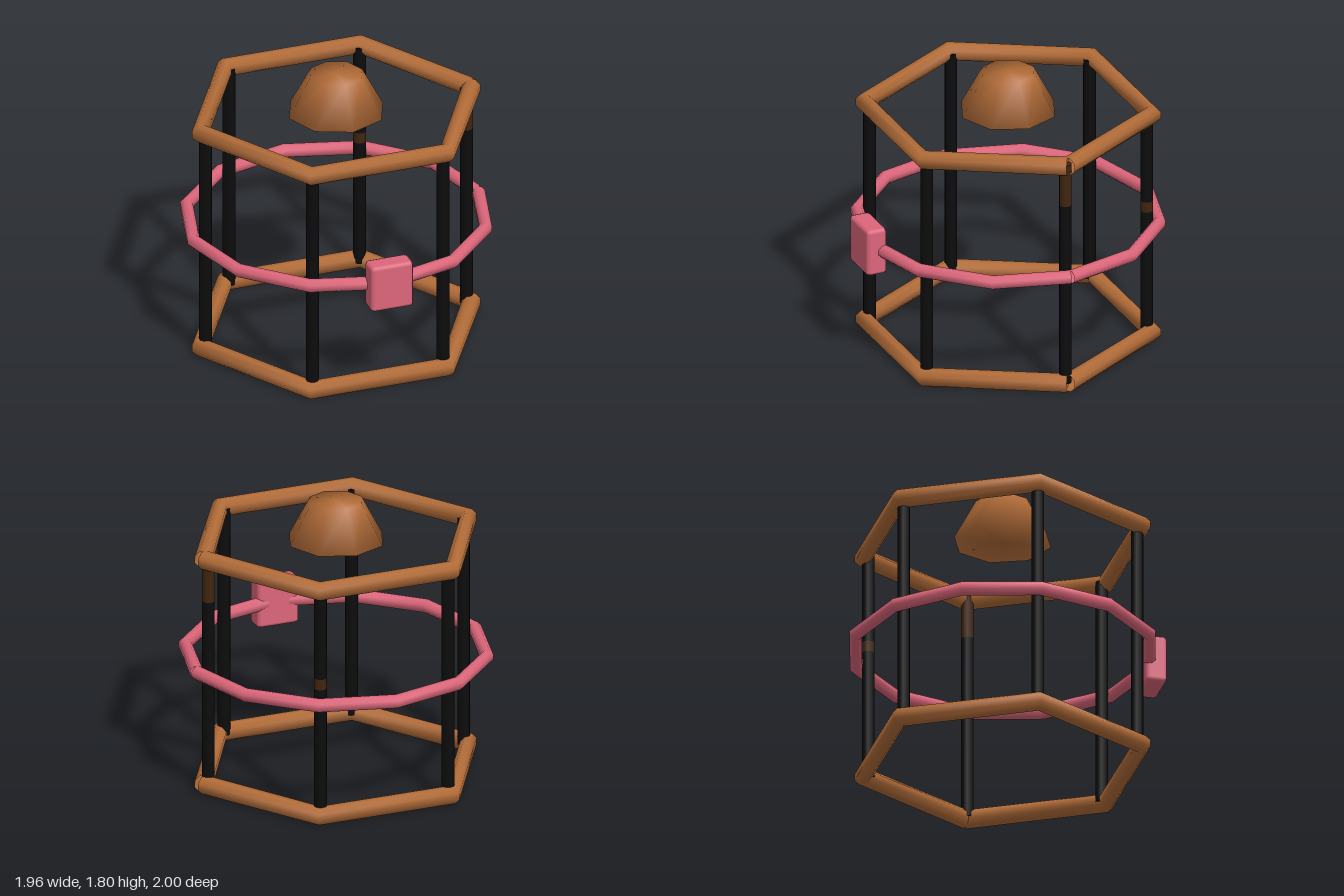
import * as THREE from 'three';
import { mergeVertices } from 'three/addons/utils/BufferGeometryUtils.js';
import { RoundedBoxGeometry } from 'three/addons/geometries/RoundedBoxGeometry.js';

const CENTER_Z = -0.018;

// Polygonal hoop whose two ends meet, cut square, at +x
function hoopGeometry(corners, radius, tube, sides = 8) {
  const positions = [], normals = [], index = [];
  for (let i = 0; i <= corners; i++) {
    const a = (i / corners) * Math.PI * 2;
    const half = Math.PI / corners;
    const across = i === 0 ? half : i === corners ? -half : a;
    for (let j = 0; j <= sides; j++) {
      const b = ((j + 0.5) / sides) * Math.PI * 2;
      const n = [Math.cos(b) * Math.cos(across), Math.sin(b), Math.cos(b) * Math.sin(across)];
      positions.push(radius * Math.cos(a) + tube * n[0], tube * n[1], radius * Math.sin(a) + tube * n[2]);
      normals.push(...n);
      if (i < corners && j < sides) {
        const p = i * (sides + 1) + j, q = p + sides + 1;
        index.push(p, p + 1, q, q, p + 1, q + 1);
      }
    }
  }
  const g = new THREE.BufferGeometry();
  g.setAttribute('position', new THREE.Float32BufferAttribute(positions, 3));
  g.setAttribute('normal', new THREE.Float32BufferAttribute(normals, 3));
  g.setIndex(index);
  return g;
}

// Merge a geometry's vertices so shading flows over its edges
function softened(g) {
  g.deleteAttribute('normal');
  g.deleteAttribute('uv');
  const m = mergeVertices(g, 1e-4);
  m.computeVertexNormals();
  return m;
}

export function createModel() {
  const model = new THREE.Group();
  model.name = 'cageFrame';
  const wood = new THREE.MeshStandardMaterial({ name: 'warm brown', color: 0xb26c38, side: THREE.DoubleSide });
  const pink = new THREE.MeshStandardMaterial({ name: 'rose pink', color: 0xdc667a, side: THREE.DoubleSide });
  const black = new THREE.MeshStandardMaterial({ name: 'black', color: 0x0c0c0c });
  const darkBrown = new THREE.MeshStandardMaterial({ name: 'dark brown', color: 0x40250f });

  const add = (name, geometry, material, x, y, z) => {
    const mesh = new THREE.Mesh(geometry, material);
    mesh.name = name;
    mesh.position.set(x, y, z);
    model.add(mesh);
    return mesh;
  };

  // Hexagonal rails and the belt between them
  add('bottomRail', hoopGeometry(6, 0.895, 0.059), wood, 0, 0.055, CENTER_Z);
  add('topRail', hoopGeometry(6, 0.895, 0.059), wood, 0, 1.547, CENTER_Z);
  add('beltHoop', hoopGeometry(12, 0.94, 0.043), pink, 0, 0.805, CENTER_Z);

  // Posts at the corners, split where the colour changes: [from, to, material]
  const plain = [[0.05, 1.55, black]];
  const sections = {
    0: [[0.05, 1.27, black], [1.27, 1.55, darkBrown]],
    5: [[0.05, 0.89, black], [0.89, 0.96, darkBrown], [0.96, 1.55, black]],
  };
  for (let i = 0; i < 6; i++) {
    const a = (i * Math.PI) / 3;
    for (const [from, to, material] of sections[i] || plain) {
      add('post', new THREE.CylinderGeometry(0.04, 0.04, to - from, 10), material,
        0.862 * Math.cos(a), (from + to) / 2, CENTER_Z + 0.862 * Math.sin(a));
    }
  }

  // Eight-sided cap floating in the top rail
  add('cap', softened(new THREE.CylinderGeometry(0.172, 0.31, 0.26, 8)), wood, 0, 1.673, CENTER_Z);

  // Buckle on the front of the belt
  add('buckle', new RoundedBoxGeometry(0.28, 0.31, 0.136, 1, 0.025), pink, 0, 0.805, 0.932);

  return model;
}
